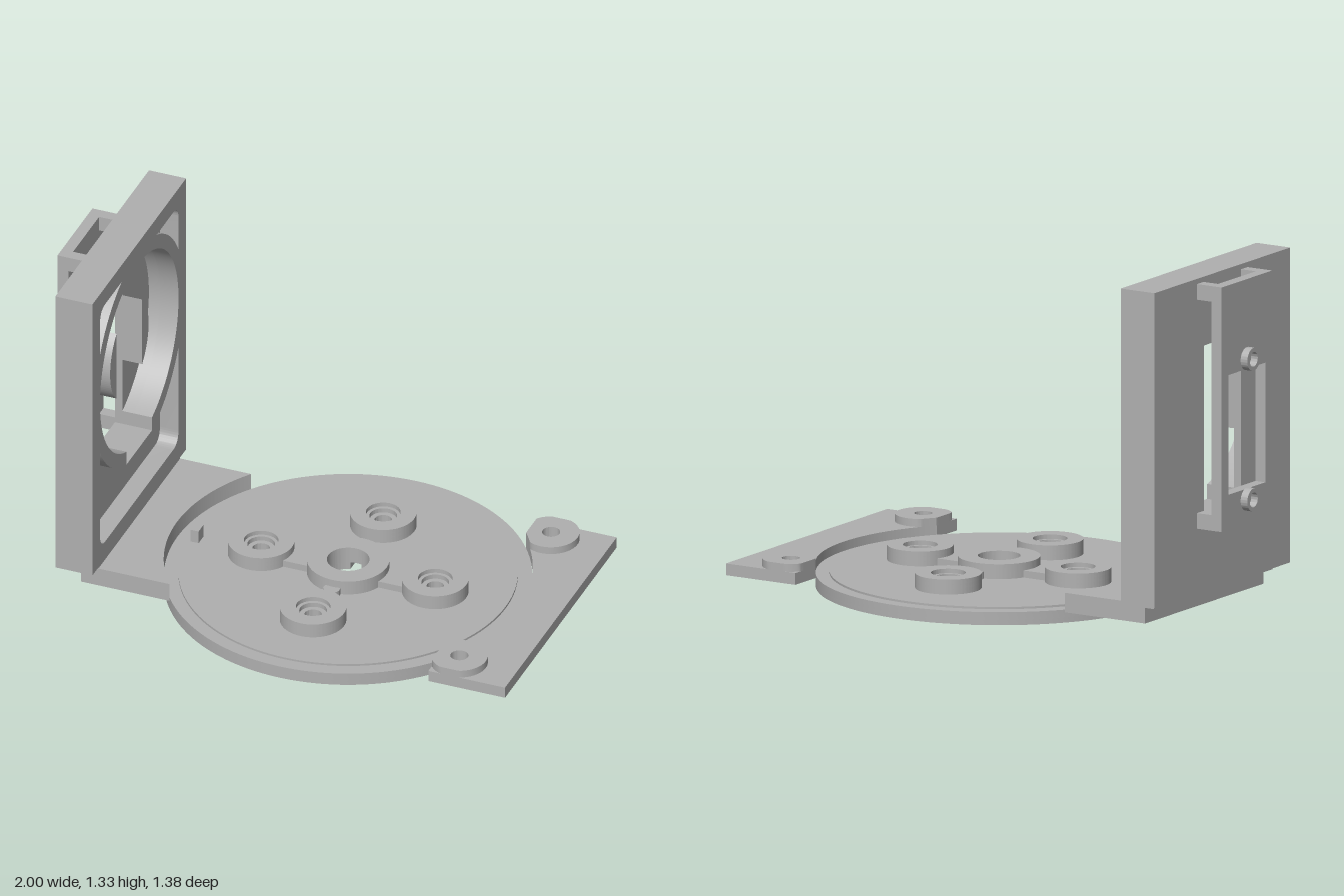
import * as THREE from 'three';
import { toCreasedNormals } from 'three/addons/utils/BufferGeometryUtils.js';

const CX = 0.135;   // turntable centre on x
const CY = 0.84;    // centre height of the ring in the upright wall

export function createModel() {
  const model = new THREE.Group();
  model.name = 'bracketAssembly';
  const grey = new THREE.MeshStandardMaterial({ color: 0xb0b0b0 });
  grey.name = 'grey';

  const add = (name, geo, parent = model) => {
    const mesh = new THREE.Mesh(geo, grey);
    mesh.name = name;
    parent.add(mesh);
    return mesh;
  };
  const extrude = (shape, depth) => toCreasedNormals(
    new THREE.ExtrudeGeometry(shape, { depth, bevelEnabled: false, curveSegments: 64 }), 0.5);
  // horizontal slab between two heights (plan outline)
  const slab = (name, shape, y0, y1) =>
    add(name, extrude(shape, y1 - y0).rotateX(-Math.PI / 2).translate(0, y0, 0));
  // upright panel between two x positions (outline in z and y)
  const panel = (name, shape, x0, x1) =>
    add(name, extrude(shape, x1 - x0).rotateY(Math.PI / 2).translate(x0, 0, 0));
  const box = (name, x0, x1, y0, y1, z0, z1) => add(name,
    new THREE.BoxGeometry(x1 - x0, y1 - y0, z1 - z0)
      .translate((x0 + x1) / 2, (y0 + y1) / 2, (z0 + z1) / 2));

  const circle = (x, y, r, ...holes) => {
    const s = new THREE.Shape().absarc(x, y, r, 0, Math.PI * 2);
    s.holes.push(...holes);
    return s;
  };
  const rect = (x0, x1, y0, y1, ...holes) => {
    const s = new THREE.Shape().moveTo(x0, y0).lineTo(x1, y0).lineTo(x1, y1).lineTo(x0, y1);
    s.closePath();
    s.holes.push(...holes);
    return s;
  };

  // ---- Turntable disc ----
  const hubs = [[CX + 0.352, 0], [CX - 0.352, 0], [CX, 0.352], [CX, -0.352]];
  const hubHoles = () => hubs.map(([x, z]) => circle(x, z, 0.033));
  const cross = new THREE.Path();   // cross-shaped channel joined with the centre bore
  for (let k = 0; k < 4; k++) {
    const a = k * Math.PI / 2, w = 0.022, L = k % 2 ? 0.18 : 0.3, d = Math.asin(w / 0.08);
    const at = (u, v) => [CX + u * Math.cos(a) - v * Math.sin(a), u * Math.sin(a) + v * Math.cos(a)];
    if (k) cross.lineTo(...at(L, -w)); else cross.moveTo(...at(L, -w));
    cross.lineTo(...at(L, w));
    cross.absarc(CX, 0, 0.08, a + d, a + Math.PI / 2 - d, false);
  }
  cross.closePath();
  slab('discOuterFoot', circle(CX, 0, 0.69, circle(CX, 0, 0.62)), 0, 0.02);
  slab('discInnerFoot', circle(CX, 0, 0.555, circle(CX, 0, 0.4)), 0, 0.02);
  slab('discBody', circle(CX, 0, 0.69, cross, ...hubHoles()), 0.02, 0.05);
  slab('discTop', circle(CX, 0, 0.637, circle(CX, 0, 0.08), ...hubHoles()), 0.05, 0.058);

  // ---- Hubs on the disc ----
  for (const [x, z] of hubs) {
    slab('hubBase', circle(x, z, 0.125, circle(x, z, 0.033)), 0.058, 0.08);
    slab('hubSeat', circle(x, z, 0.125, circle(x, z, 0.052)), 0.08, 0.098);
    slab('hubRim', circle(x, z, 0.125, circle(x, z, 0.065)), 0.098, 0.115);
  }
  slab('centreHub', circle(CX, 0, 0.155, circle(CX, 0, 0.08)), 0.058, 0.115);
  for (const s of [-1, 1]) {
    const xs = [CX + s * 0.14, CX + s * 0.24].sort((a, b) => a - b);
    box('hubRib', xs[0], xs[1], 0.058, 0.085, -0.057, 0.057);
    slab('hubNub', circle(CX, s * 0.165, 0.032), 0.058, 0.085);
  }
  box('stopPin', -0.493, -0.46, 0.058, 0.11, -0.025, 0.025);

  // ---- Arm that carries the wall, hollowed to clear the disc ----
  const R = 0.692, a = Math.asin(0.41 / R);
  const arm = new THREE.Shape().moveTo(-0.78, -0.41).lineTo(CX - R * Math.cos(a), -0.41);
  arm.absarc(CX, 0, R, Math.PI + a, Math.PI - a, true);
  arm.lineTo(-0.78, 0.41);
  arm.closePath();
  slab('wallArm', arm, 0.04, 0.115);
  box('wallStep', -0.82, -0.71, 0.1, 0.12, -0.41, 0.41);

  // ---- Opposite mounting plate with two bosses ----
  const b = Math.acos(0.55 / R);
  const plate = new THREE.Shape().moveTo(0.685, -0.56).lineTo(0.995, -0.56)
    .lineTo(0.995, 0.56).lineTo(0.685, 0.56);
  plate.absarc(CX, 0, R, b, -b, true);
  plate.closePath();
  plate.holes.push(circle(0.77, 0.46, 0.034), circle(0.77, -0.46, 0.034));
  slab('mountPlate', plate, 0.04, 0.085);
  for (const s of [-1, 1]) {
    // round boss trimmed by the plate edges and the disc
    const pts = [];
    for (let i = 0; i < 64; i++) {
      const t = i / 64 * Math.PI * 2;
      let x = Math.max(0.685, 0.77 + 0.107 * Math.cos(t));
      let z = Math.min(0.56, 0.46 + 0.107 * Math.sin(t));
      const k = Math.max(1, R / Math.hypot(x - CX, z));
      x = CX + (x - CX) * k;
      z *= k;
      pts.push(new THREE.Vector2(x, s * z));
    }
    const boss = new THREE.Shape(pts);
    boss.holes.push(circle(0.77, s * 0.46, 0.034));
    slab('mountBoss', boss, 0.085, 0.115);
  }

  // ---- Upright wall: floor, round pocket, outer pockets ----
  const slot = () => rect(-0.128, 0.128, 0.41, 1.065);
  const bore = () => {   // round pocket with the slot notched into its lower edge
    const d = Math.asin(0.128 / 0.394);
    const p = new THREE.Path();
    p.absarc(0, CY, 0.394, -Math.PI / 2 + d, Math.PI * 1.5 - d, false);
    p.lineTo(-0.128, 0.41).lineTo(0.128, 0.41);
    p.closePath();
    return p;
  };
  const W = 0.393, O = 0.45, top = 1.255, low = 0.195, c = 0.055;
  const side = Math.acos(W / O), up = Math.asin((top - CY) / O);
  const corner = s => {   // triangular pocket above the ring
    const p = new THREE.Path().moveTo(s * W, CY + O * Math.sin(side));
    p.lineTo(s * W, top - c).quadraticCurveTo(s * W, top, s * (W - c), top);
    p.lineTo(s * O * Math.cos(up), top);
    if (s > 0) p.absarc(0, CY, O, up, side, true);
    else p.absarc(0, CY, O, Math.PI - up, Math.PI - side, false);
    p.closePath();
    return p;
  };
  const lower = new THREE.Path().moveTo(-W, CY - O * Math.sin(side));
  lower.absarc(0, CY, O, Math.PI + side, Math.PI * 2 - side, false);
  lower.lineTo(W, low + c).quadraticCurveTo(W, low, W - c, low);
  lower.lineTo(-W + c, low).quadraticCurveTo(-W, low, -W, low + c);
  lower.closePath();
  const wall = (...holes) => rect(-0.47, 0.47, 0.12, 1.33, ...holes);
  panel('wallFloor', wall(slot()), -0.86, -0.83);
  panel('wallMiddle', wall(bore()), -0.83, -0.785);
  panel('wallFront', wall(bore(), corner(1), corner(-1), lower), -0.785, -0.71);

  // split round boss either side of the slot
  const f = Math.acos(0.128 / 0.193);
  for (const m of [0, Math.PI]) {
    const seg = new THREE.Shape();
    seg.absarc(0, CY, 0.193, m - f, m + f, false);
    seg.closePath();
    panel('slotBoss', seg, -0.83, -0.75);
  }

  // ---- Rear holder: windowed plate on four posts with two screw bosses ----
  const screws = [0.465, 1.005];
  panel('holderPlate', rect(-0.175, 0.175, 0.37, 1.31, rect(-0.128, 0.128, 0.505, 0.965),
    ...screws.map(y => circle(0, y, 0.02))), -0.97, -0.925);
  for (const s of [-1, 1]) for (const y of [0.37, 1.25]) {
    const z = s * 0.1525;
    box('holderPost', -0.925, -0.86, y, y + 0.06, z - 0.0225, z + 0.0225);
  }
  for (const y of screws) {
    panel('screwBoss', circle(0, y, 0.044, circle(0, y, 0.028)), -1, -0.97);
  }
  return model;
}
